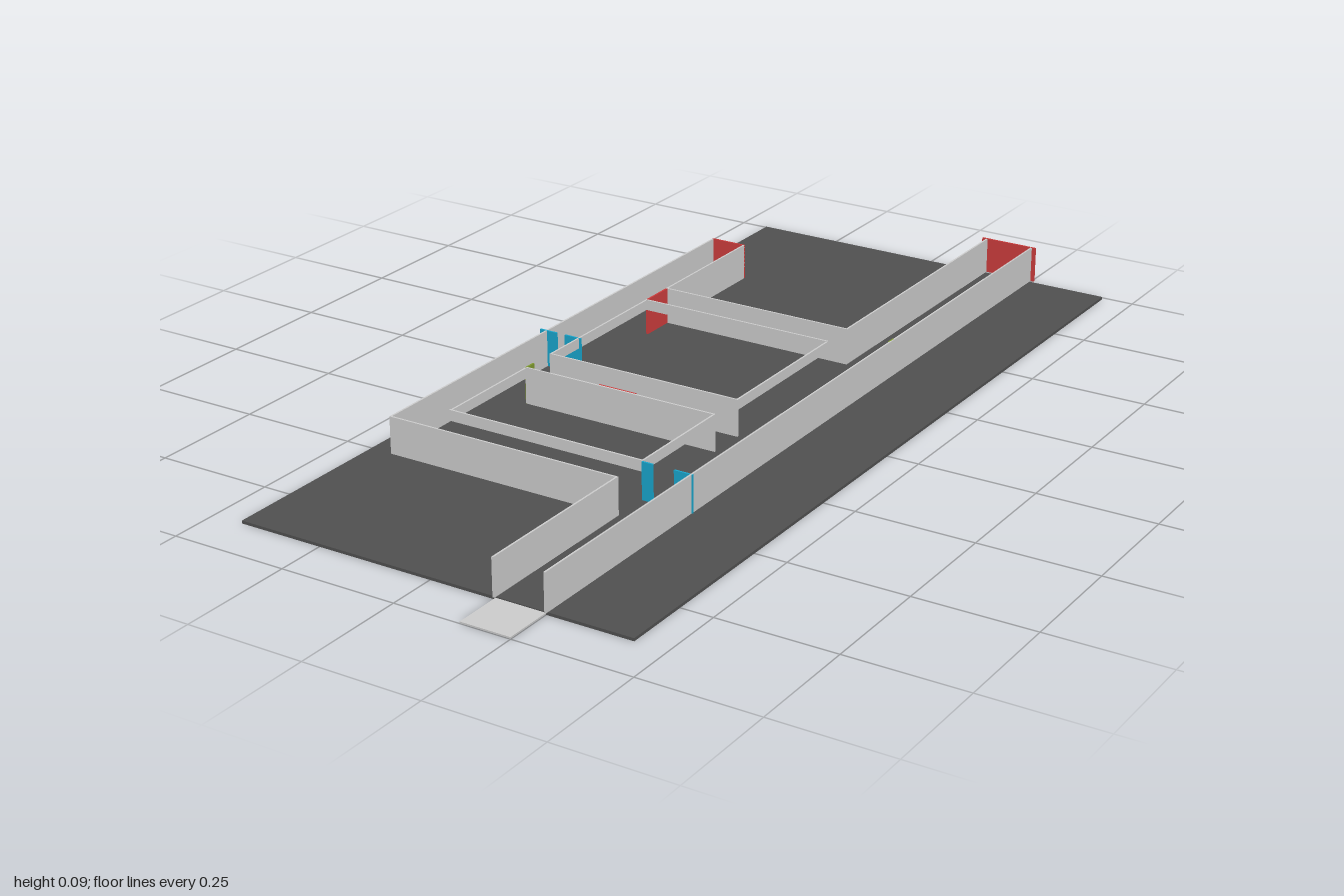
import * as THREE from 'three';

const mat = (color) => new THREE.MeshStandardMaterial({ color });

export function createModel() {
  const group = new THREE.Group();
  const grey = mat(0xcccccc), dark = mat(0x505050), red = mat(0xcc3c3c);
  const blue = mat(0x18a5cc), green = mat(0x7f9a30);
  const T = 0.004, FLOOR = 0.006, TOP = 0.085;

  // Box given by its extents along each axis
  function block(name, x0, x1, y0, y1, z0, z1, material) {
    const mesh = new THREE.Mesh(new THREE.BoxGeometry(x1 - x0, y1 - y0, z1 - z0), material);
    mesh.position.set((x0 + x1) / 2, (y0 + y1) / 2, (z0 + z1) / 2);
    mesh.name = name;
    group.add(mesh);
  }
  // Upright panels running along x or along z
  const alongX = (name, z, x0, x1, material = grey, y0 = FLOOR, y1 = TOP) =>
    block(name, x0, x1, y0, y1, z - T / 2, z + T / 2, material);
  const alongZ = (name, x, z0, z1, material = grey, y0 = FLOOR, y1 = TOP) =>
    block(name, x - T / 2, x + T / 2, y0, y1, z0, z1, material);

  // Ground slab and the entrance path in front of it
  block('ground', -0.432, 0.432, 0, FLOOR, -0.99, 0.895, dark);
  block('entrancePath', 0.143, 0.25, 0.001, 0.004, 0.89, 1, grey);

  // Long corridor on the left side
  alongZ('outerCorridorWall', 0.252, -0.995, 0.9);
  alongZ('innerCorridorWallBack', 0.142, -0.995, -0.352);
  alongZ('innerCorridorWallFront', 0.142, 0.51, 0.9);

  // Short corridor on the right side, and the cross walls
  alongZ('sideCorridorOuterWall', -0.381, -0.67, 0.51);
  alongZ('sideCorridorInnerWall', -0.301, -0.67, -0.352);
  alongX('frontCrossWall', 0.51, -0.383, 0.144);
  for (const z of [-0.352, 0.085, 0.17]) alongX('crossWall', z, -0.303, 0.144);

  // Open frames around the two inner courts
  const RAIL = TOP - 0.022;
  for (const [z0, z1] of [[-0.27, 0.085], [0.17, 0.425]])
    for (const x of [-0.301, 0.142]) alongZ('courtSideRail', x, z0, z1, grey, RAIL, TOP);
  for (const z of [-0.27, 0.425]) alongX('courtEndRail', z, -0.303, 0.144, grey, RAIL, TOP + 0.001);

  // Red doors
  alongX('corridorEndDoor', -0.998, 0.13, 0.262, red);
  alongX('sideCorridorEndDoor', -0.67, -0.383, -0.299, red);
  alongZ('crossCorridorDoor', -0.301, -0.35, -0.272, red);
  alongX('courtDoor', 0.166, -0.128, -0.042, red);

  // Blue gate posts
  for (const [x0, x1] of [[-0.397, -0.355], [-0.335, -0.295]]) alongX('sideGatePost', -0.015, x0, x1, blue);
  for (const [x0, x1] of [[0.144, 0.168], [0.215, 0.256]]) alongX('corridorGatePost', 0.428, x0, x1, blue);

  // Green markers
  alongZ('sideMarker', -0.302, 0.145, 0.172, green);
  alongZ('corridorMarker', 0.25, -0.355, -0.335, green);

  return group;
}
